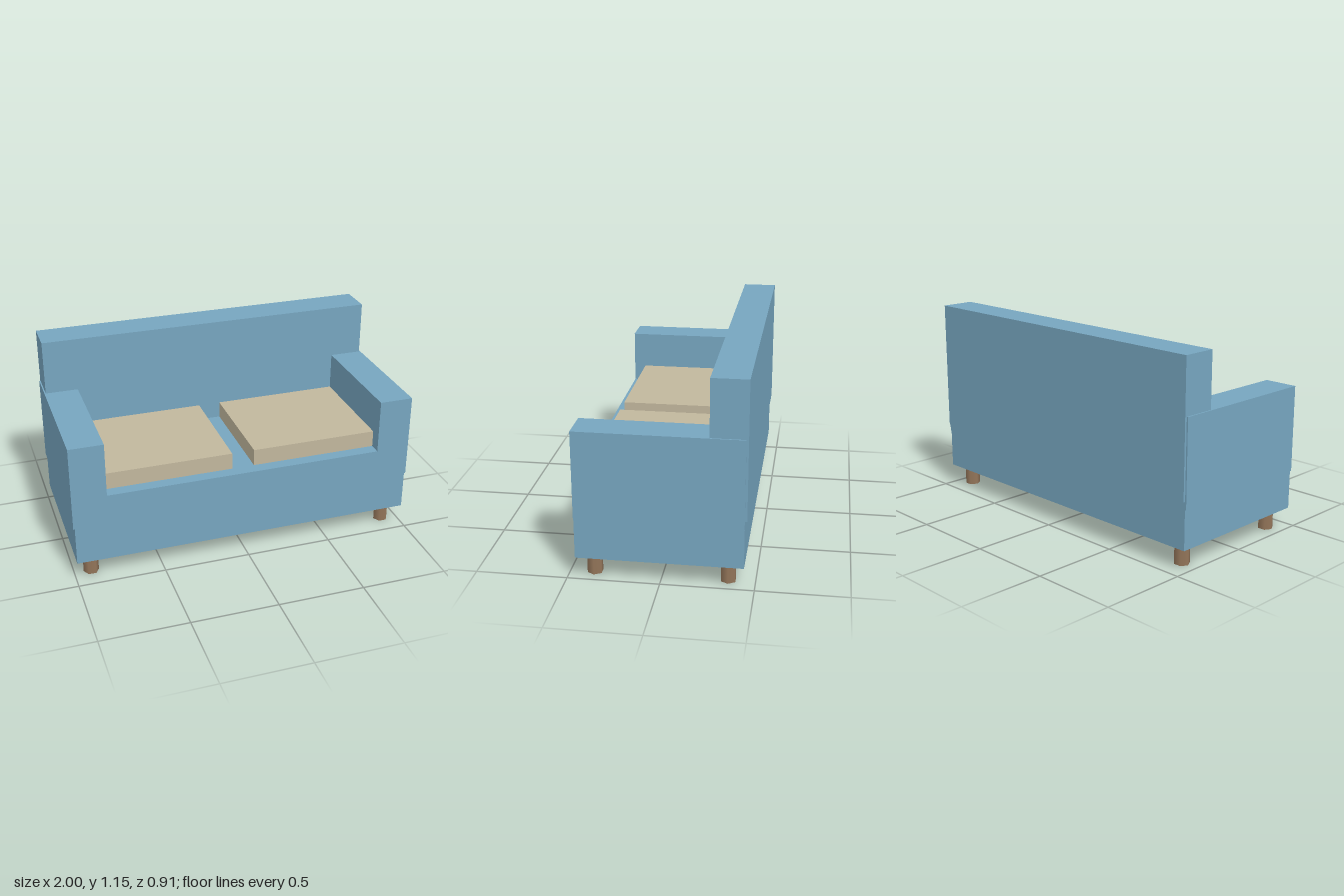
import * as THREE from 'three';

const paint = (name, color) => {
  const m = new THREE.MeshStandardMaterial({ color });
  m.name = name;
  return m;
};

export function createModel() {
  const sofa = new THREE.Group();
  sofa.name = 'sofa';

  const blue = paint('blue fabric', 0x76a5bf);
  const beige = paint('beige cushion', 0xc1b79d);
  const brown = paint('brown wood', 0x94765a);

  // Box given by its lower and upper corners
  const block = (name, material, [x0, y0, z0], [x1, y1, z1]) => {
    const mesh = new THREE.Mesh(new THREE.BoxGeometry(x1 - x0, y1 - y0, z1 - z0), material);
    mesh.position.set((x0 + x1) / 2, (y0 + y1) / 2, (z0 + z1) / 2);
    mesh.name = name;
    sofa.add(mesh);
  };

  // Body
  block('base', blue, [-0.992, 0.12, -0.443], [0.992, 0.525, 0.455]);
  block('backrest', blue, [-0.992, 0.39, -0.455], [0.992, 1.155, -0.258]);

  // Six-sided legs, a corner pointing sideways
  const legShape = new THREE.CylinderGeometry(0.044, 0.044, 0.12, 6, 1, false, Math.PI / 6);

  for (const [side, s] of [['left', 1], ['right', -1]]) {
    const span = (a, b) => (s > 0 ? [a, b] : [-b, -a]);

    const [a0, a1] = span(0.804, 1);
    block(`${side}Arm`, blue, [a0, 0.345, -0.443], [a1, 0.84, 0.455]);

    const [c0, c1] = span(0.065, 0.804);
    block(`${side}Cushion`, beige, [c0, 0.523, -0.26], [c1, 0.622, 0.385]);

    for (const [end, z] of [['Front', 0.366], ['Back', -0.355]]) {
      const leg = new THREE.Mesh(legShape, brown);
      leg.position.set(s * 0.902, 0.06, z);
      leg.name = `${side}${end}Leg`;
      sofa.add(leg);
    }
  }

  return sofa;
}
